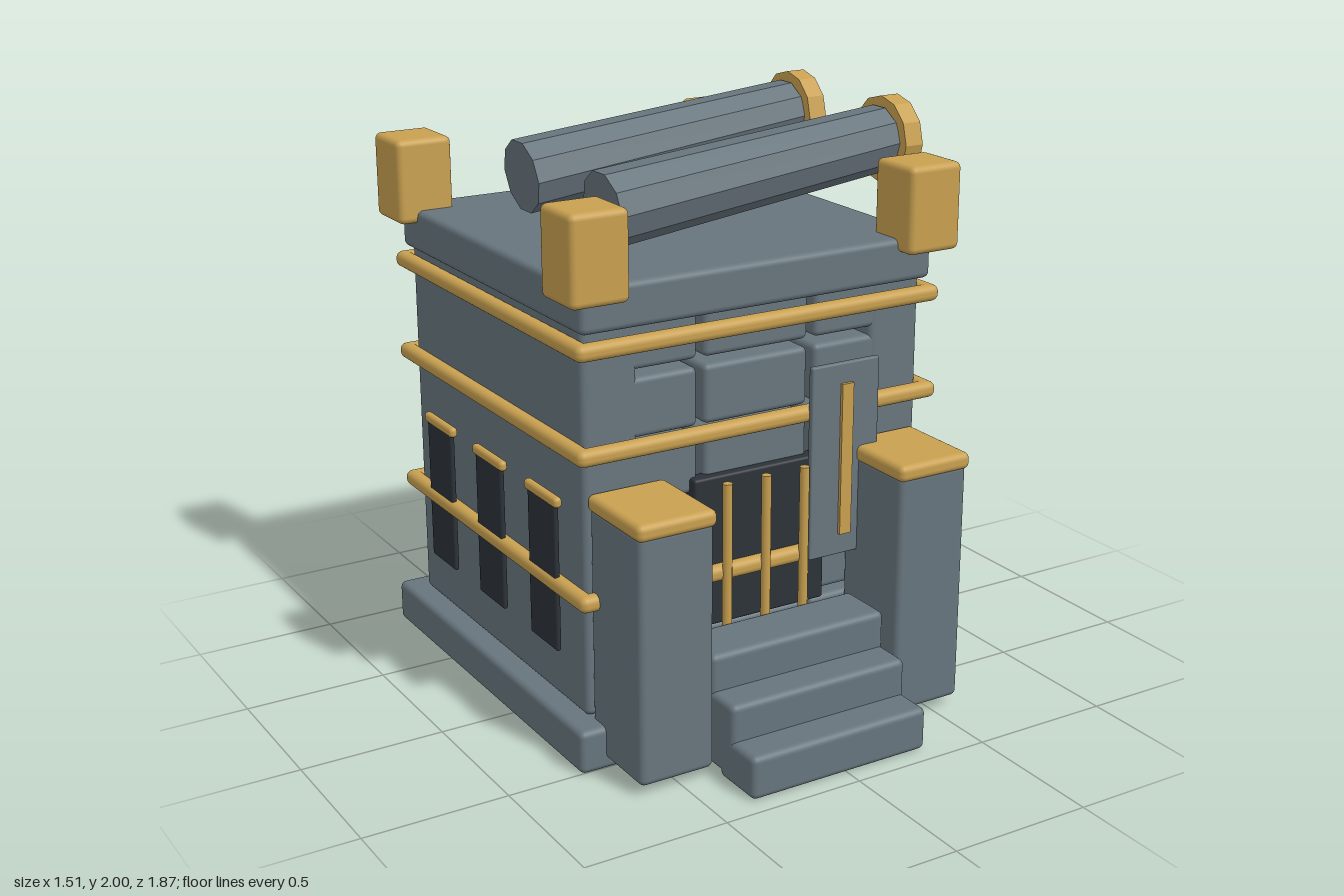
import * as THREE from 'three';
import { RoundedBoxGeometry } from 'three/addons/geometries/RoundedBoxGeometry.js';

const CX = -0.027; // centre line of the building
const CZ = -0.205;

export function createModel() {
  const root = new THREE.Group();
  root.name = 'fortifiedBuilding';
  const mat = (name, color, flatShading = false) => {
    const m = new THREE.MeshStandardMaterial({ color, flatShading });
    m.name = name;
    return m;
  };
  const slate = mat('slate', 0x67757d);
  const gold = mat('gold', 0xc8a050);
  const dark = mat('darkGlass', 0x2c3238);

  const add = (name, geometry, material, x, y, z, parent = root) => {
    const mesh = new THREE.Mesh(geometry, material);
    mesh.name = name;
    mesh.position.set(x, y, z);
    parent.add(mesh);
    return mesh;
  };
  // Box given by its limits on each axis, with optional rounded edges
  const box = (name, material, [x0, x1], [y0, y1], [z0, z1], r = 0.022, parent = root) => {
    const size = [x1 - x0, y1 - y0, z1 - z0];
    const geometry = r > 0
      ? new RoundedBoxGeometry(...size, 3, Math.min(r, Math.min(...size) * 0.49))
      : new THREE.BoxGeometry(...size);
    return add(name, geometry, material, (x0 + x1) / 2, (y0 + y1) / 2, (z0 + z1) / 2, parent);
  };
  const span = (centre, width) => [centre - width / 2, centre + width / 2];
  const group = (name) => {
    const g = new THREE.Group();
    g.name = name;
    root.add(g);
    return g;
  };

  // Base and roof slabs
  box('baseSlab', slate, span(CX, 1.435), [0, 0.15], span(CZ, 1.435));
  box('roofSlab', slate, span(CX, 1.325), [1.45, 1.6], span(CZ, 1.325));

  // Solid side walls
  for (const s of [-1, 1]) {
    box('sideWall', slate, span(CX + s * 0.545, 0.2), [0.15, 1.47], span(CZ, 1.25));
  }

  // Front and back walls of separate stone blocks with open joints
  const blocks = group('stoneBlocks');
  for (const s of [-1, 1]) {
    for (let row = 0; row < 6; row++) {
      for (let col = -1; col <= 1; col++) {
        const y = 0.17 + row * 0.226;
        box('stoneBlock', slate, span(CX + col * 0.422, 0.397), [y, y + 0.2],
          span(CZ + s * 0.523, 0.2), 0.02, blocks);
      }
    }
  }

  // Gold bands running round the building
  const bands = group('bands');
  for (const y of [0.57, 1.06, 1.4]) {
    for (const s of [-1, 1]) {
      box('bandAcross', gold, span(CX, 1.375), span(y, 0.056), span(CZ + s * 0.66, 0.056), 0.024, bands);
      box('bandAlong', gold, span(CX + s * 0.66, 0.056), span(y, 0.056), span(CZ, 1.375), 0.024, bands);
    }
  }

  // Side windows with lintels
  const windows = group('windows');
  for (const s of [-1, 1]) {
    for (const z of [0.185, -0.205, -0.595]) {
      const x = CX + s * 0.668;
      box('windowPane', dark, span(x, 0.018), [0.335, 0.86], span(z, 0.19), 0.008, windows);
      box('windowLintel', gold, span(x, 0.03), [0.84, 0.877], span(z, 0.225), 0.014, windows);
    }
  }

  // Entrance door with bars
  box('door', dark, span(CX, 0.51), [0.38, 0.903], [0.39, 0.45], 0.01);
  for (const x of [-0.15, 0, 0.15]) {
    add('doorBar', new THREE.CylinderGeometry(0.017, 0.017, 0.52, 10), gold, CX + x, 0.625, 0.482);
  }

  // Wall panel beside the door
  box('wallPanel', slate, [0.138, 0.405], [0.55, 1.225], [0.475, 0.498], 0.006);
  box('panelStripe', gold, [0.25, 0.295], [0.625, 1.155], [0.498, 0.51], 0);

  // Pillars flanking the entrance
  for (const s of [-1, 1]) {
    const x = CX + s * 0.491;
    box('pillar', slate, span(x, 0.27), [0.035, 0.885], [0.42, 0.737]);
    box('pillarCap', gold, span(x, 0.285), [0.867, 0.925], [0.415, 0.748]);
  }

  // Entrance steps
  for (let i = 0; i < 3; i++) {
    box('step', slate, span(CX, 0.675), [i * 0.018, 0.15 + i * 0.125],
      [0.735 - i * 0.123, 0.938 - i * 0.123]);
  }

  // Roof corner blocks
  for (const sx of [-1, 1]) {
    for (const sz of [-1, 1]) {
      box('cornerBlock', gold, span(CX + sx * 0.625, 0.205), [1.555, 1.85],
        span(CZ + sz * 0.627, 0.205));
    }
  }

  // Tilted roof barrels, each ending in an upright gold disc
  const slateFacet = (g) => g.toNonIndexed();
  for (const z of [0.085, -0.49]) {
    const barrelGeometry = slateFacet(new THREE.CylinderGeometry(0.115, 0.13, 1.1, 10));
    barrelGeometry.computeVertexNormals();
    const barrel = add('roofBarrel', barrelGeometry, slate, 0.143, 1.795, z);
    barrel.rotation.z = -Math.PI / 2 + Math.atan2(0.12, 1.095);
    const discGeometry = slateFacet(new THREE.CylinderGeometry(0.15, 0.15, 0.07, 12));
    discGeometry.computeVertexNormals();
    add('barrelDisc', discGeometry, gold, 0.72, 1.85, z).rotation.z = -Math.PI / 2;
  }

  return root;
}
